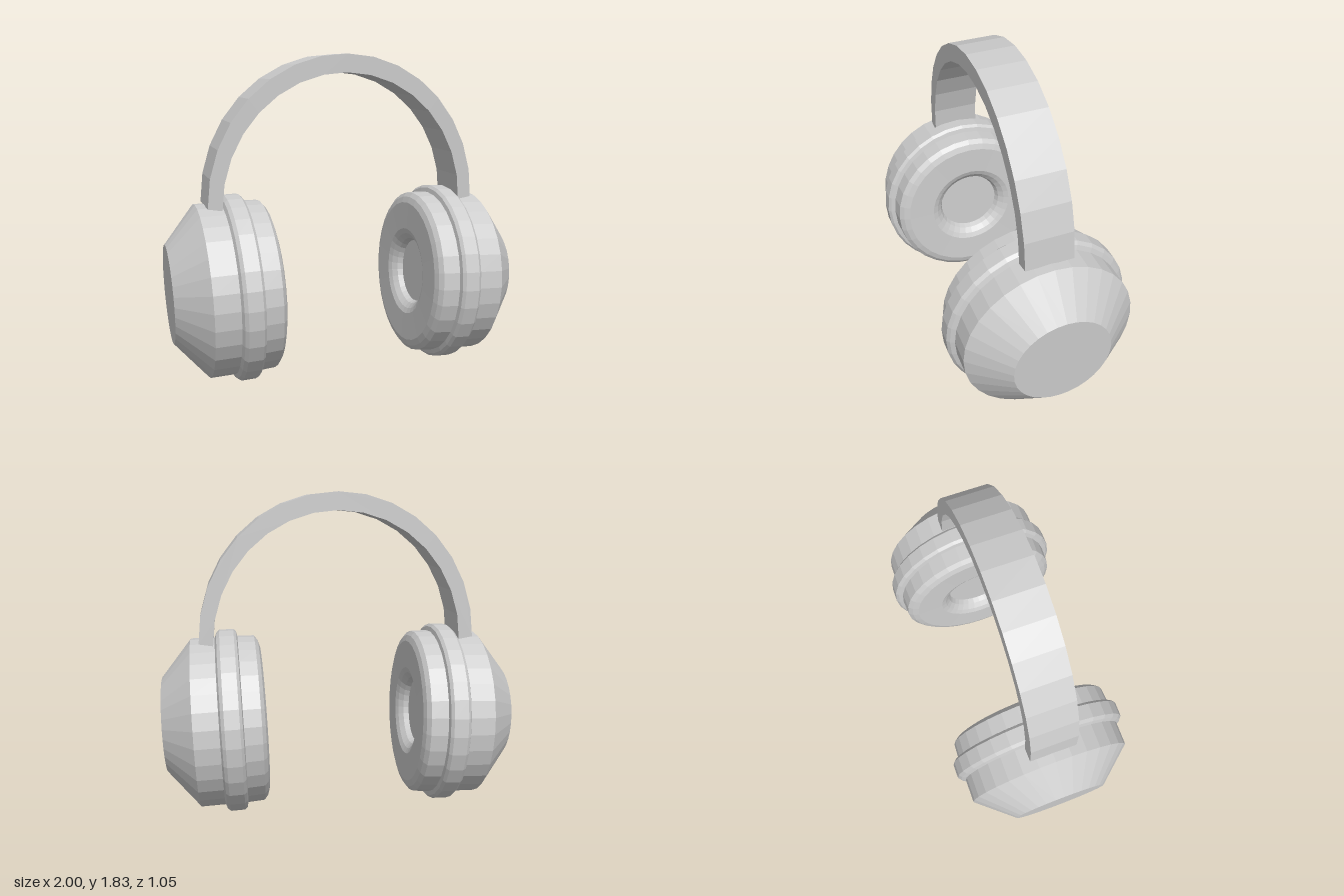
import * as THREE from 'three';

const material = new THREE.MeshStandardMaterial({ color: 0xcccccc, flatShading: true });

function addMesh(parent, name, geometry) {
  const mesh = new THREE.Mesh(geometry, material);
  mesh.name = name;
  parent.add(mesh);
  return mesh;
}

// Ear cup: one turned profile, [radius, distance outward along the cup axis]
function earCup(name) {
  const cup = new THREE.Group();
  cup.name = name;
  const profile = [
    [0, -0.11], [0.186, -0.11], [0.2, -0.14], [0.23, -0.165], [0.26, -0.178], // speaker recess
    [0.42, -0.181], [0.455, -0.17], [0.48, -0.15], [0.485, -0.055],           // cushion
    [0.51, -0.05], [0.525, -0.035], [0.525, 0.045], [0.51, 0.063], [0.485, 0.073], // raised ring
    [0.485, 0.21], [0.275, 0.385], [0, 0.385],                                // tapered shell
  ].map(([r, u]) => new THREE.Vector2(r, u));
  const shell = addMesh(cup, 'earCupShell', new THREE.LatheGeometry(profile, 32));
  shell.position.set(0.605, 0.531, 0);
  shell.rotation.z = -Math.PI / 2 - 0.036;
  return cup;
}

// Headband: half-ellipse strip, extruded across its width
function headband() {
  const steps = 16;
  const arc = (rx, ry, y) => Array.from({ length: steps + 1 }, (_, i) => {
    const a = (i / steps) * Math.PI;
    return new THREE.Vector2(rx * Math.cos(a), y + ry * Math.sin(a));
  });
  const outline = [...arc(0.782, 0.825, 0.005), ...arc(0.703, 0.737, -0.008).reverse()];
  const width = 0.27;
  const geometry = new THREE.ExtrudeGeometry(new THREE.Shape(outline), {
    depth: width, bevelEnabled: false,
  });
  return geometry.translate(0, 0, -width / 2);
}

export function createModel() {
  const model = new THREE.Group();
  model.name = 'headphones';

  const left = earCup('leftEarCup');
  const right = earCup('rightEarCup');
  right.rotation.y = Math.PI;
  model.add(left, right);

  // The band leans slightly forward
  const band = addMesh(model, 'headband', headband());
  band.position.set(0, 1, 0.004);
  band.rotation.x = 0.024;

  return model;
}
